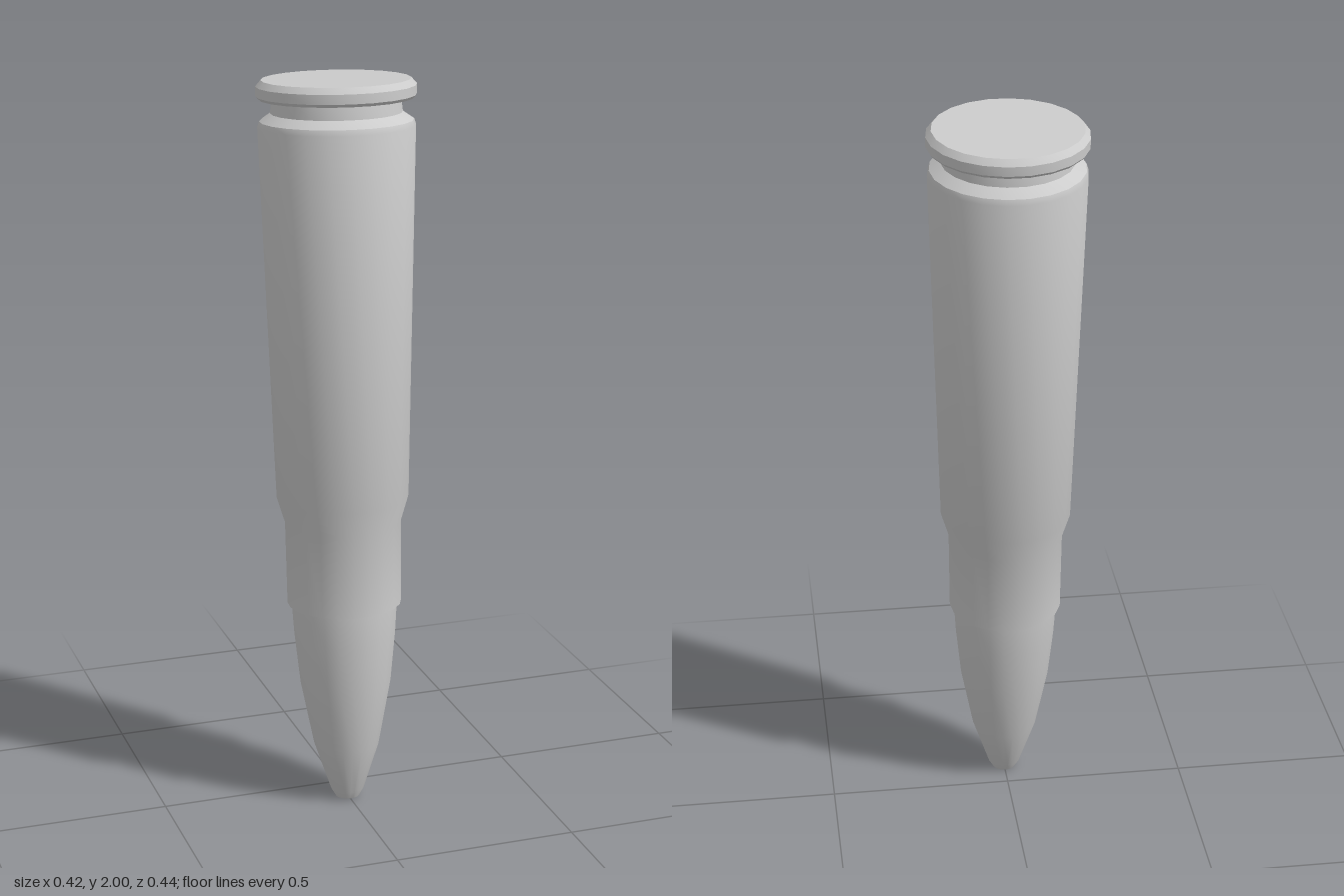
import * as THREE from 'three';
import { toCreasedNormals } from 'three/addons/utils/BufferGeometryUtils.js';

const SIDES = 22;

export function createModel() {
  const model = new THREE.Group();
  model.name = 'cartridge';
  const material = new THREE.MeshStandardMaterial({ color: 0xcccccc });

  // Turned part from [radius, height] pairs, listed bottom to top along the outside
  const turned = (name, profile) => {
    const points = profile.map(([r, y]) => new THREE.Vector2(r, y));
    const lathe = new THREE.LatheGeometry(points, SIDES, Math.PI / SIDES);
    const mesh = new THREE.Mesh(toCreasedNormals(lathe, 0.5), material);
    mesh.name = name;
    model.add(mesh);
  };

  // Tapered bullet with a blunt tip, seated in the neck
  turned('bullet', [
    [0, 0], [0.033, 0.002], [0.046, 0.025], [0.09, 0.16], [0.124, 0.34],
    [0.138, 0.48], [0.144, 0.575], [0.144, 0.62],
  ]);

  // Case: mouth lip, neck, shoulder, tapered body and bevel into the groove
  turned('case', [
    [0.14, 0.572], [0.155, 0.572], [0.157, 0.8], [0.178, 0.87],
    [0.206, 1.87], [0.201, 1.885], [0.172, 1.905],
  ]);

  // Extractor groove
  turned('extractorGroove', [[0.172, 1.905], [0.168, 1.942]]);

  // Rim with bevelled edge and flat head
  turned('rim', [
    [0.168, 1.942], [0.202, 1.942], [0.209, 1.95], [0.209, 1.975], [0.195, 1.991], [0, 1.991],
  ]);

  // Slight backward lean
  model.rotation.x = -0.05;
  model.position.set(0, 0, 0.09);
  const root = new THREE.Group();
  root.name = 'model';
  root.add(model);
  return root;
}
